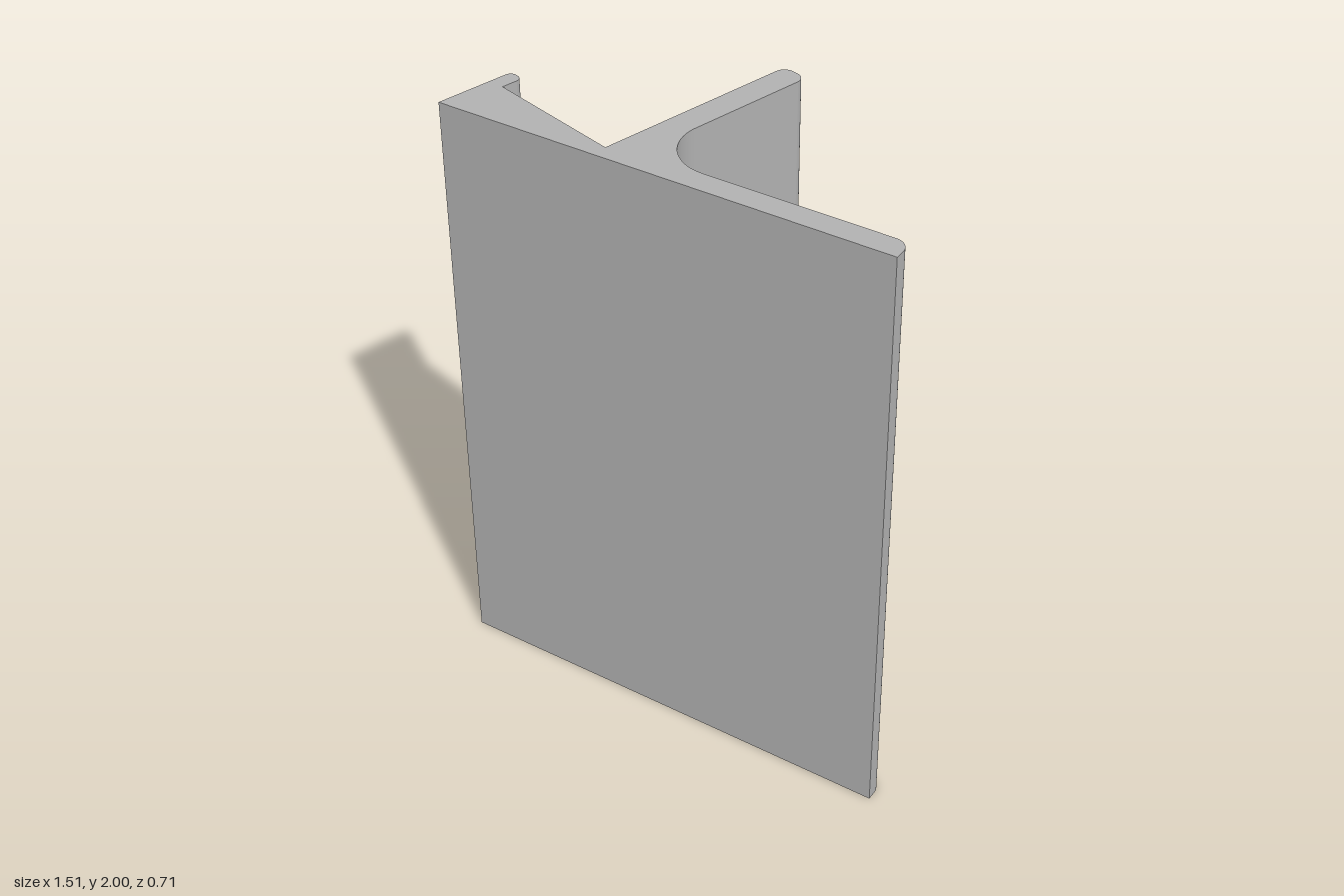
import * as THREE from 'three';
import { toCreasedNormals } from 'three/addons/utils/BufferGeometryUtils.js';

const HEIGHT = 2;
const LEAN = THREE.MathUtils.degToRad(75); // direction of the leaning wall in plan
const C = Math.cos(LEAN), S = Math.sin(LEAN);
const WALL_BACK = -0.12, WALL_FRONT = -0.03; // wall faces, measured across the lean
const PLATE_START = -0.087, PLATE_END = 0.1;

// Plan point (x, -z) from distance along the lean (t) and across it (s)
const lean = (t, s) => new THREE.Vector2(t * C + s * S, t * S - s * C);

// Rounded free end of a leaning rib, drawn from its right face to its left
function roundEnd(shape, t, left, right, r) {
  const a = lean(t - r, right - r), b = lean(t - r, left + r);
  shape.absarc(a.x, a.y, r, LEAN - Math.PI / 2, LEAN, false);
  shape.absarc(b.x, b.y, r, LEAN, LEAN + Math.PI / 2, false);
}

export function createModel() {
  const model = new THREE.Group();
  model.name = 'mountingBracket';
  const grey = new THREE.MeshStandardMaterial({ color: 0xb2b2b2, side: THREE.DoubleSide });
  grey.name = 'grey';

  const add = (name, geometry, parent = model) => {
    const mesh = new THREE.Mesh(geometry, grey);
    mesh.name = name;
    parent.add(mesh);
    return mesh;
  };
  const extrude = (shape, depth) => toCreasedNormals(new THREE.ExtrudeGeometry(shape,
    { depth, bevelEnabled: false, curveSegments: 12 }), 0.5);
  const upright = (shape) => extrude(shape, HEIGHT).rotateX(-Math.PI / 2);

  // Base: front plate, fillet, root of the wall, wedge and small lip
  const base = new THREE.Shape();
  base.moveTo(-0.755, -0.352);
  base.lineTo(0.755, -0.352);
  base.lineTo(0.755, -0.321);
  base.absarc(0.707, -0.321, 0.048, 0, Math.PI / 2, false);
  base.absarc(0.1, -0.116, 0.157, Math.PI * 1.5, LEAN + Math.PI / 2, true);
  for (const s of [WALL_FRONT, WALL_BACK]) {
    const p = lean(PLATE_START, s);
    base.lineTo(p.x, p.y);
  }
  base.lineTo(-0.205, -0.302);
  base.lineTo(-0.655, -0.18);
  roundEnd(base, -0.27, -0.638, -0.586, 0.022);
  base.closePath();
  add('base', upright(base));

  // Rounded tip of the wall
  const tip = new THREE.Shape();
  const l = lean(PLATE_END, WALL_BACK), r = lean(PLATE_END, WALL_FRONT);
  tip.moveTo(l.x, l.y);
  tip.lineTo(r.x, r.y);
  roundEnd(tip, 0.345, WALL_BACK, WALL_FRONT, 0.035);
  tip.closePath();
  add('wallTip', upright(tip));

  // Drilled part of the wall: two layers, the front one with wider holes
  const wall = new THREE.Group();
  wall.name = 'drilledWall';
  wall.rotation.y = LEAN;
  wall.position.set(WALL_BACK * S, 0, WALL_BACK * C);
  model.add(wall);

  const holeX = -0.008, holeYs = [0.364, 1.636];
  const bore = 0.035, sink = 0.058, backDepth = 0.067, sinkDepth = 0.023;
  const layer = (radius, depth) => {
    const shape = new THREE.Shape([
      new THREE.Vector2(PLATE_START, 0), new THREE.Vector2(PLATE_END, 0),
      new THREE.Vector2(PLATE_END, HEIGHT), new THREE.Vector2(PLATE_START, HEIGHT)]);
    for (const y of holeYs) {
      const hole = new THREE.Path();
      hole.absarc(holeX, y, radius, 0, Math.PI * 2, true);
      shape.holes.push(hole);
    }
    return extrude(shape, depth);
  };
  add('wallBackLayer', layer(bore, backDepth), wall);
  add('wallFrontLayer', layer(sink, sinkDepth), wall).position.z = backDepth;

  // Conical countersinks
  for (const y of holeYs) {
    const cone = new THREE.CylinderGeometry(sink, bore, sinkDepth, 24, 1, true).rotateX(Math.PI / 2);
    add('countersink', cone, wall).position.set(holeX, y, backDepth + sinkDepth / 2);
  }
  return model;
}
